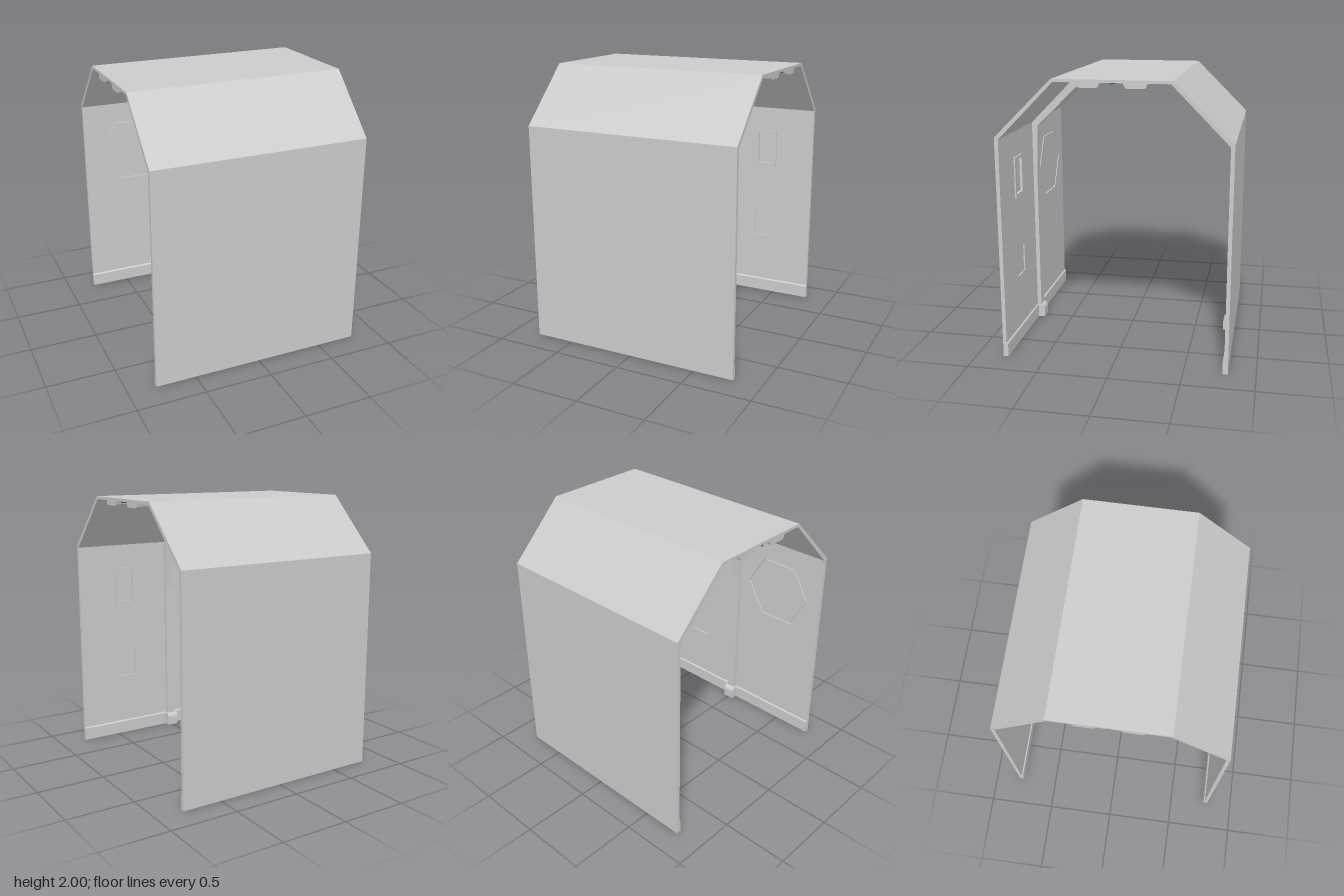
import * as THREE from 'three';

const HALF = 0.794; // half length along x
const grey = new THREE.MeshStandardMaterial({ color: 0xcccccc, flatShading: true });
const teal = new THREE.MeshStandardMaterial({ color: 0x087080 });

const toShape = (pts) => new THREE.Shape(pts.map(([a, b]) => new THREE.Vector2(a, b)));
const mirrored = (pts) => pts.map(([z, y]) => [-z, y]);
const rect = (x0, x1, y0, y1) => [[x0, y0], [x1, y0], [x1, y1], [x0, y1]];
const hexagon = (cx, cy, r) => Array.from({ length: 6 }, (_, i) => {
  const a = i * Math.PI / 3;
  return [cx + r * Math.cos(a), cy + r * Math.sin(a)];
});

function named(geometry, name, material = grey) {
  const mesh = new THREE.Mesh(geometry, material);
  mesh.name = name;
  return mesh;
}

// Cross-section given as (z, y), swept along x from x0 to x1
function sweep(pts, x0, x1, name) {
  const g = new THREE.ExtrudeGeometry(toShape(pts), { depth: x1 - x0, bevelEnabled: false });
  g.rotateY(-Math.PI / 2); // local x becomes z, depth runs towards -x
  g.translate(x1, 0, 0);
  return named(g, name);
}

// Outline given as (x, y), from depth z0 to z1
function slab(pts, z0, z1, name, holes = []) {
  const shape = toShape(pts);
  holes.forEach((h) => shape.holes.push(toShape(h)));
  const g = new THREE.ExtrudeGeometry(shape, { depth: Math.abs(z1 - z0), bevelEnabled: false });
  g.translate(0, 0, Math.min(z0, z1));
  return named(g, name);
}

// Closed arch section: over the outside to -z, then back along the inside
const arch = (outer, inner) => [
  ...outer, ...mirrored(outer).reverse(), ...mirrored(inner), ...[...inner].reverse(),
];

export function createModel() {
  const model = new THREE.Group();
  model.name = 'corridorSection';

  // Outer shell with ceiling channels in its inner outline
  const shellOuter = [[0.807, 0], [0.807, 1.6], [0.403, 2]];
  const shellInner = [
    [0.79, 0], [0.79, 1.585], [0.78, 1.585], [0.39, 1.98], [0.237, 1.98], [0.23, 1.957],
    [0.218, 1.946], [0.098, 1.946], [0.086, 1.957], [0.078, 1.98],
  ];
  model.add(sweep(arch(shellOuter, shellInner), -HALF, HALF, 'shell'));

  // Middle rib, thickening towards the roof
  const ribOuter = [[0.8, 0], [0.8, 1.595], [0.398, 1.993]];
  const ribInner = [[0.75, 0], [0.75, 1.2], [0.735, 1.56], [0.37, 1.92]];
  model.add(sweep(arch(ribOuter, ribInner), -0.035, 0.035, 'rib'));

  // Light strip along the ceiling
  const light = named(new THREE.BoxGeometry(2 * HALF, 0.01, 0.016), 'lightStrip', teal);
  light.position.y = 1.976;
  model.add(light);

  for (const s of [1, -1]) {
    const side = new THREE.Group();
    side.name = s > 0 ? 'frontWall' : 'backWall';

    // Wall lining with window, small recess and hexagonal groove
    const pane = rect(0.338, 0.472, 1.125, 1.375);
    side.add(slab(rect(0, HALF, 0, 1.585), s * 0.78, s * 0.79, 'windowPanel',
      [pane, rect(0.32, 0.48, 0.495, 0.705)]));
    side.add(slab(rect(-HALF, 0, 0, 1.585), s * 0.78, s * 0.79, 'hatchPanel', [hexagon(-0.405, 1.19, 0.285)]));
    side.add(slab(hexagon(-0.405, 1.19, 0.267), s * 0.78, s * 0.79, 'hatch'));
    side.add(slab(rect(0.32, 0.49, 1.1, 1.4), s * 0.77, s * 0.78, 'windowFrame', [pane]));

    // Skirting board and rounded rib foot
    const skirting = [[0.78, 0], [0.78, 0.105], [0.77, 0.096], [0.77, 0]];
    const foot = [[0.79, 0], [0.79, 0.1], [0.745, 0.1], [0.732, 0.091], [0.723, 0.078], [0.72, 0.062], [0.72, 0]];
    const facing = (pts) => (s > 0 ? pts : mirrored(pts));
    side.add(sweep(facing(skirting), -HALF, HALF, 'skirting'));
    side.add(sweep(facing(foot), -0.045, 0.045, 'ribFoot'));
    model.add(side);
  }
  return model;
}
